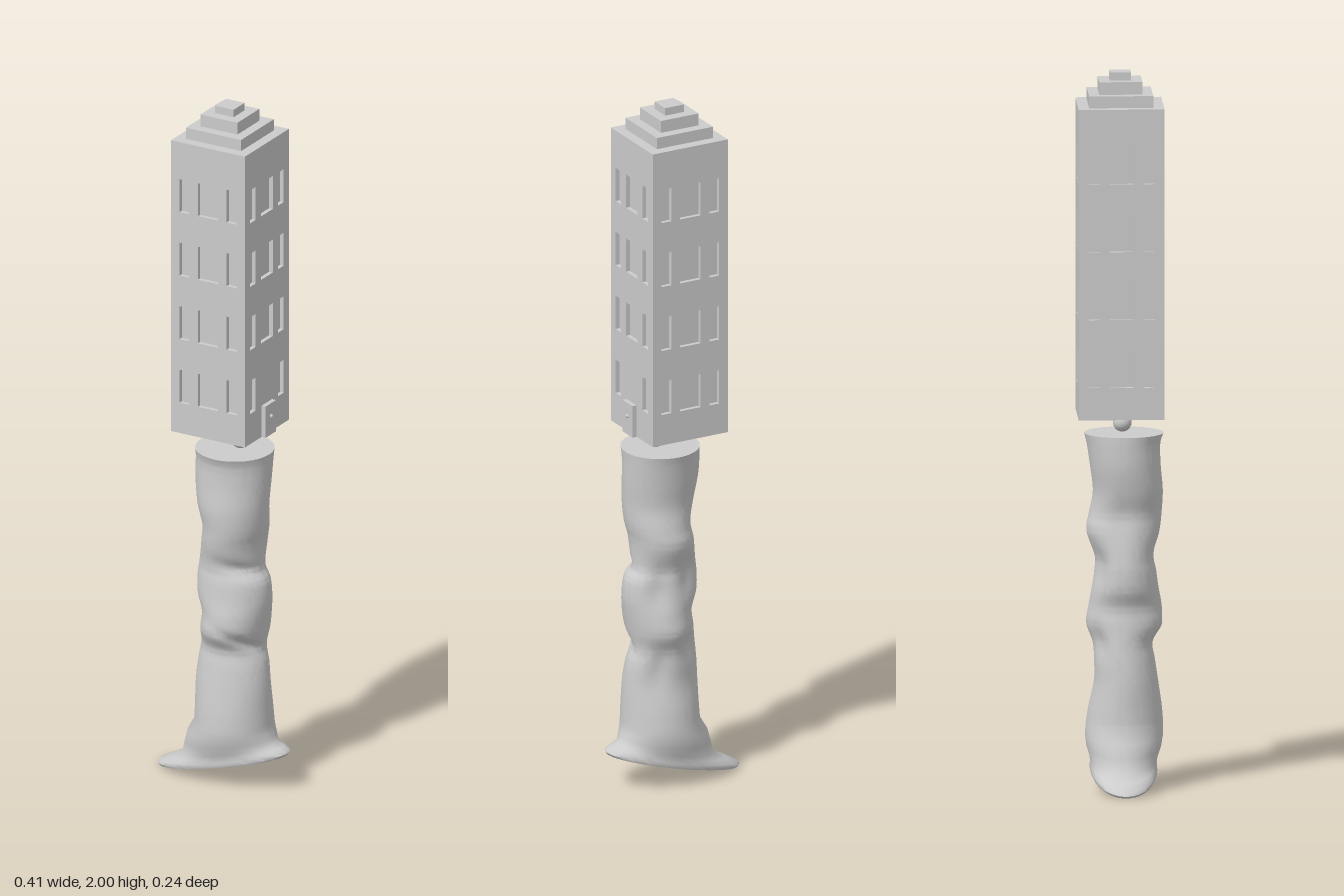
import * as THREE from 'three';
import { toCreasedNormals } from 'three/addons/utils/BufferGeometryUtils.js';

const CX = 0.0135, CZ = -0.004;      // tower axis
const W = 0.237, Y0 = 1.045, H = 0.865, T = 0.012;
const material = new THREE.MeshStandardMaterial({ color: 0xcccccc });

function add(parent, name, geometry, x = 0, y = 0, z = 0) {
  const mesh = new THREE.Mesh(geometry, material);
  mesh.name = name;
  mesh.position.set(x, y, z);
  parent.add(mesh);
  return mesh;
}

function rect(path, x0, y0, x1, y1) {
  path.moveTo(x0, y0);
  path.lineTo(x1, y0);
  path.lineTo(x1, y1);
  path.lineTo(x0, y1);
  path.closePath();
  return path;
}

// Wall panel pierced by four rows of three windows
function wallGeometry(width, hasDoor) {
  const shape = rect(new THREE.Shape(), -width / 2, 0, width / 2, H);
  for (let row = 0; row < 4; row++) {
    const y = 0.09 + row * 0.189;
    for (const [x, half] of [[-0.0755, 0.0155], [0, 0.032], [0.0755, 0.0155]]) {
      if (hasDoor && row === 0 && x === 0) continue;
      shape.holes.push(rect(new THREE.Path(), x - half, y, x + half, y + 0.098));
    }
  }
  return new THREE.ExtrudeGeometry(shape, { depth: T, bevelEnabled: false });
}

function buildTower() {
  const tower = new THREE.Group();
  tower.name = 'tower';
  tower.position.set(CX, Y0, CZ);
  const inner = W - 2 * T;
  add(tower, 'towerCore', new THREE.BoxGeometry(inner, H, inner), 0, H / 2, 0);
  const names = ['frontWall', 'leftWall', 'backWall', 'rightWall'];
  names.forEach((name, i) => {
    const a = i * Math.PI / 2, d = W / 2 - T;
    const wall = add(tower, name, wallGeometry(i % 2 ? inner : W, i === 1), Math.sin(a) * d, 0, Math.cos(a) * d);
    wall.rotation.y = a;
  });
  // Stepped roof
  [[0.177, 0, 0.033], [0.119, 0.033, 0.068], [0.059, 0.068, 0.09]].forEach(([w, a, b], i) =>
    add(tower, 'roofStep' + (i + 1), new THREE.BoxGeometry(w, b - a, w), 0, H + (a + b) / 2, 0));
  // Door on the +x wall
  add(tower, 'door', new THREE.BoxGeometry(0.014, 0.093, 0.056), W / 2 + 0.006, 0.0465, 0);
  add(tower, 'doorKnob', new THREE.SphereGeometry(0.006, 12, 8), W / 2 + 0.014, 0.055, 0);
  return tower;
}

// Cross-sections: height, xMin, xMax, zMin, zMax, slope along x
const FOOT = [
  [0.085, 0, 0, 0.005, 0.005, 0.25],
  [0.085, -0.12, 0.125, -0.06, 0.07, 0.25],
  [0.06, -0.17, 0.17, -0.078, 0.088, 0.25],
  [0.055, -0.2, 0.2, -0.085, 0.095, 0.25],
  [0.062, -0.206, 0.206, -0.088, 0.098, 0.25],
  [0.07, -0.2, 0.202, -0.087, 0.097, 0.25],
  [0.08, -0.16, 0.185, -0.087, 0.097, 0.25],
  [0.093, -0.123, 0.165, -0.089, 0.1, 0.25],
  [0.12, -0.112, 0.158, -0.097, 0.11, 0.18],
  [0.15, -0.1, 0.152, -0.1, 0.115, 0.1],
];
const GRIP = [
  [0.18, -0.076, 0.148, -0.098, 0.116, 0],
  [0.23, -0.074, 0.146, -0.09, 0.112, 0],
  [0.3, -0.073, 0.143, -0.076, 0.102, 0],
  [0.36, -0.068, 0.136, -0.077, 0.093, 0],
  [0.41, -0.061, 0.124, -0.081, 0.087, 0],
  [0.46, -0.055, 0.132, -0.097, 0.114, 0],
  [0.51, -0.05, 0.14, -0.09, 0.112, 0],
  [0.56, -0.068, 0.145, -0.083, 0.103, 0],
  [0.61, -0.07, 0.14, -0.078, 0.096, 0],
  [0.65, -0.065, 0.122, -0.076, 0.09, 0],
  [0.72, -0.054, 0.123, -0.096, 0.106, 0],
  [0.77, -0.048, 0.133, -0.088, 0.112, 0],
  [0.83, -0.062, 0.138, -0.078, 0.115, 0],
  [0.9, -0.073, 0.142, -0.086, 0.109, 0],
  [0.96, -0.074, 0.144, -0.095, 0.108, 0],
  [0.99, -0.073, 0.146, -0.102, 0.117, 0],
];

// Smooth blend through the grip sections
function sampleGrip(u) {
  const i = Math.min(Math.floor(u), GRIP.length - 2), t = u - i;
  const at = k => GRIP[Math.max(0, Math.min(GRIP.length - 1, k))];
  return GRIP[0].map((_, c) => {
    const a = at(i - 1)[c], b = at(i)[c], d = at(i + 1)[c], e = at(i + 2)[c];
    const v0 = (d - a) / 2, v1 = (e - b) / 2;
    return (2 * b - 2 * d + v0 + v1) * t ** 3 + (-3 * b + 3 * d - 2 * v0 - v1) * t * t + v0 * t + b;
  });
}

// Finger hollows (angle, height, depth, angular width, vertical width)
const DENTS = [
  [-2.2, 0.42, 0.013, 0.4, 0.05],
  [-2.1, 0.62, 0.013, 0.4, 0.06],
  [-3.0, 0.76, 0.006, 0.4, 0.07],
  [-1.1, 0.59, 0.012, 0.35, 0.06],
  [-1.1, 0.36, 0.012, 0.35, 0.06],
];
function dentAt(a, y) {
  const bell = v => Math.exp(-v * v);
  const turn = b => Math.atan2(Math.sin(a - b), Math.cos(a - b));
  let d = 0;
  for (const [b, h, depth, wa, wy] of DENTS) d += depth * bell(turn(b) / wa) * bell((y - h) / wy);
  // Slanting creases around the front and the +x side
  const s = turn(0);
  for (const [low, rise] of [[0.405, 0.045], [0.64, 0.018]])
    d += 0.012 * bell((s - 0.8) / 0.7) * bell((y - low - rise * s) / 0.018);
  return d;
}

function handleGeometry() {
  const SEG = 64, rings = [...FOOT];
  const steps = (GRIP.length - 1) * 6;
  for (let k = 0; k <= steps; k++) rings.push(sampleGrip(k / 6));
  rings.push([0.99, 0.036, 0.036, 0.007, 0.007, 0]);   // top cap
  const pos = [], index = [];
  rings.forEach(([y, x0, x1, z0, z1, slope], i) => {
    for (let j = 0; j < SEG; j++) {
      const a = j / SEG * Math.PI * 2;
      const rx = (x1 - x0) / 2, rz = (z1 - z0) / 2;
      const d = i >= FOOT.length && rx > 0 ? dentAt(a, y) : 0;
      const x = (x0 + x1) / 2 + Math.cos(a) * (rx - d);
      pos.push(x, y + slope * x, (z0 + z1) / 2 + Math.sin(a) * (rz - d));
      if (i === rings.length - 1) continue;
      const p = i * SEG + j, q = i * SEG + (j + 1) % SEG;
      if (i < rings.length - 2) index.push(p, p + SEG, q + SEG);
      if (i > 0) index.push(p, q + SEG, q);
      if (i === rings.length - 2) index.push(p, p + SEG, q);
    }
  });
  const geometry = new THREE.BufferGeometry();
  geometry.setAttribute('position', new THREE.Float32BufferAttribute(pos, 3));
  geometry.setIndex(index);
  return toCreasedNormals(geometry, 0.9);
}

export function createModel() {
  const model = new THREE.Group();
  model.name = 'towerOnHandle';
  model.add(buildTower());
  add(model, 'joint', new THREE.SphereGeometry(0.026, 24, 16), 0.052, 1.016, 0.004);
  add(model, 'handle', handleGeometry());
  // Oval stub below the hollow foot, square to its tilt
  const stub = add(model, 'footStub', new THREE.CylinderGeometry(0.06, 0.06, 0.06, 32), -0.003, 0.066, 0.005);
  stub.scale.z = 0.45;
  stub.rotation.z = Math.atan(0.25);
  return model;
}
